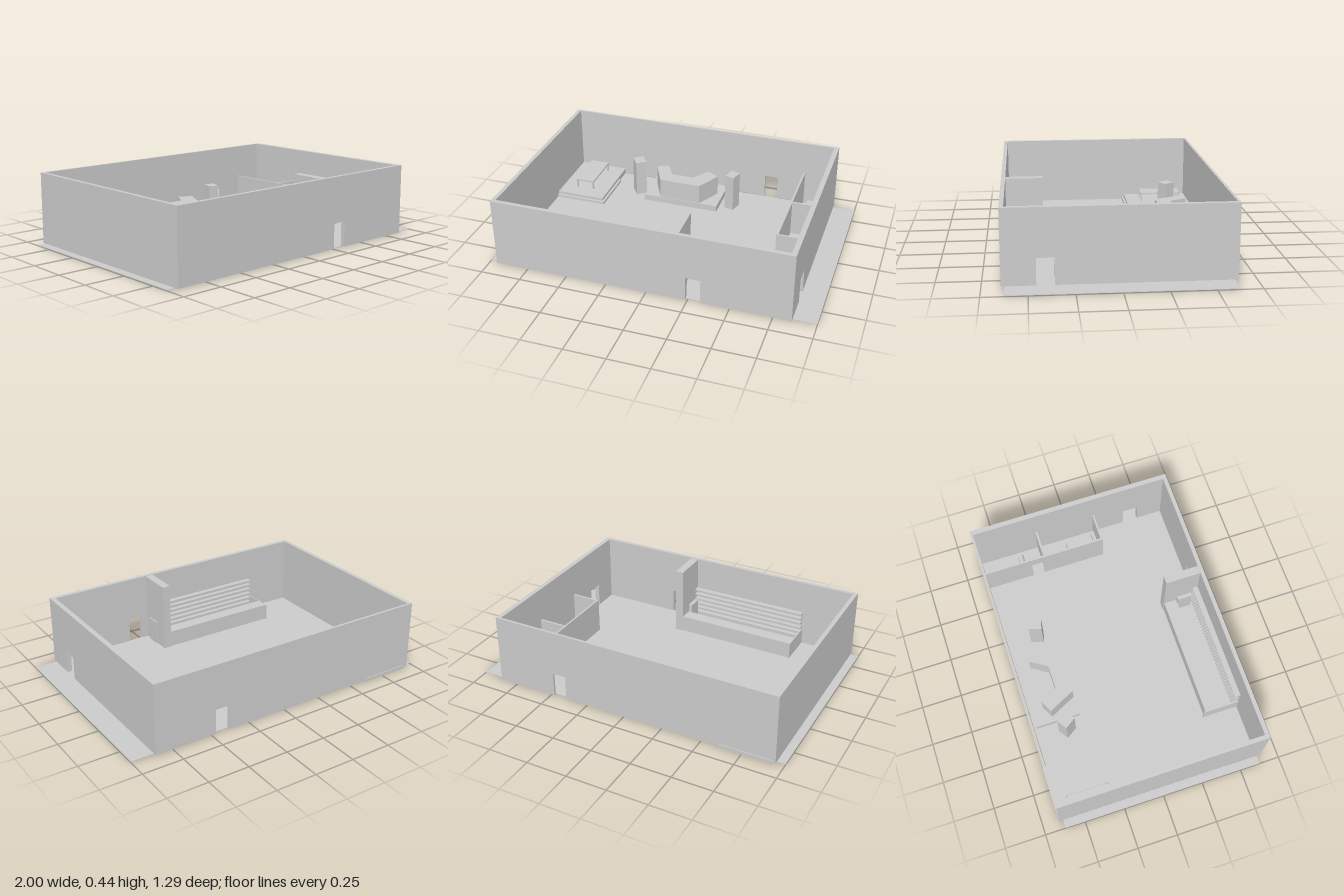
import * as THREE from 'three';

const mat = new THREE.MeshStandardMaterial({ color: 0xcccccc });
const FLOOR = 0.006, TOP = 0.44;

export function createModel() {
  const model = new THREE.Group();
  const add = (name, geo, parent = model) => {
    const m = new THREE.Mesh(geo, mat);
    m.name = name;
    parent.add(m);
    return m;
  };
  // Box given by its limits on each axis
  const box = (name, x0, x1, y0, y1, z0, z1, parent) => {
    const m = add(name, new THREE.BoxGeometry(x1 - x0, y1 - y0, z1 - z0), parent);
    m.position.set((x0 + x1) / 2, (y0 + y1) / 2, (z0 + z1) / 2);
    return m;
  };
  // Upright wall running from u0 to u1, with an optional doorway from d0 to d1
  const wallGeometry = (u0, u1, depth, d0, d1, height = TOP, doorTop = 0.16) => {
    const pts = [[u0, FLOOR]];
    if (d0 !== undefined) pts.push([d0, FLOOR], [d0, doorTop], [d1, doorTop], [d1, FLOOR]);
    pts.push([u1, FLOOR], [u1, height], [u0, height]);
    const shape = new THREE.Shape(pts.map(p => new THREE.Vector2(...p)));
    return new THREE.ExtrudeGeometry(shape, { depth, bevelEnabled: false });
  };
  const wallX = (name, x0, x1, z0, z1, d0, d1, h) => {
    add(name, wallGeometry(x0, x1, z1 - z0, d0, d1, h)).position.z = z0;
  };
  const wallZ = (name, x0, x1, z0, z1, d0, d1, h) => {
    const far = d0 === undefined ? [] : [-d1, -d0];
    const m = add(name, wallGeometry(-z1, -z0, x1 - x0, far[0], far[1], h));
    m.rotation.y = Math.PI / 2;
    m.position.x = x0;
  };

  // Ground slab and outer walls
  box('floor', -1, 1, 0.003, FLOOR, -0.625, 0.625);
  wallX('frontWall', -0.95, 0.86, 0.62, 0.645, 0.24, 0.33);
  wallX('backWall', -0.95, 0.86, -0.645, -0.63, 0.39, 0.475);
  wallZ('rightWall', -0.95, -0.925, -0.63, 0.62);
  wallZ('leftWall', 0.83, 0.86, -0.63, 0.62, 0.355, 0.455);

  // Stepped corner platform with a table
  box('platformStep', -0.925, -0.595, 0, 0.022, -0.505, -0.185);
  box('platform', -0.925, -0.61, 0, 0.04, -0.63, -0.2);
  box('platformRearEdge', -0.925, -0.61, 0, 0.022, -0.65, -0.63);
  const table = new THREE.Group();
  table.name = 'table';
  model.add(table);
  box('tableTop', -0.835, -0.71, 0.09, 0.1, -0.57, -0.295, table);
  for (const x of [-0.828, -0.717]) {
    for (const z of [-0.563, -0.302]) {
      box('tableLeg', x - 0.005, x + 0.005, 0.04, 0.09, z - 0.005, z + 0.005, table);
    }
  }

  // Stage with an angled booth counter
  box('stage', -0.36, 0.14, 0, 0.046, -0.61, -0.33);
  const booth = [[-0.326, -0.497], [-0.251, -0.535], [-0.198, -0.428], [-0.048, -0.428],
    [0.021, -0.535], [0.102, -0.492], [0.021, -0.333], [-0.246, -0.333]];
  const boothShape = new THREE.Shape(booth.map(([x, z]) => new THREE.Vector2(x, -z)));
  const boothMesh = add('boothCounter',
    new THREE.ExtrudeGeometry(boothShape, { depth: 0.13, bevelEnabled: false }));
  boothMesh.rotation.x = -Math.PI / 2;
  boothMesh.position.y = 0.046;

  // Tall cabinets turned towards the room on both sides of the stage
  for (const [x, z, turn, w] of [[-0.425, -0.43, 0.6, 0.07], [0.218, -0.43, -0.28, 0.062]]) {
    const c = box('cabinet', -w / 2, w / 2, FLOOR, 0.245, -0.04, 0.04);
    c.position.x = x;
    c.position.z = z;
    c.rotation.y = turn;
  }

  // Bar: counter, shelves behind it and a full-height screen wall
  box('barScreenWall', 0.145, 0.195, FLOOR, 0.437, 0.4, 0.62);
  box('barCounter', -0.61, 0.145, FLOOR, 0.11, 0.405, 0.485);
  box('barEndPanel', -0.616, -0.61, FLOOR, 0.11, 0.395, 0.62);
  box('barDoor', 0.122, 0.202, FLOOR, 0.16, 0.488, 0.58);
  box('shelfBack', -0.61, 0.145, FLOOR, 0.23, 0.612, 0.62);
  for (let i = 0; i < 6; i++) {
    const y = 0.06 + i * 0.032;
    box('shelf', -0.61, 0.145, y, y + 0.011, 0.585, 0.612);
  }

  // Two side rooms with open tops
  const H = 0.23;
  wallX('roomEndWall', 0.645, 0.83, 0.143, 0.155, undefined, undefined, H);
  wallX('roomDivider', 0.645, 0.83, -0.243, -0.23, undefined, undefined, H);
  wallZ('rearRoomWall', 0.645, 0.657, -0.63, -0.243, -0.325, -0.25, H);
  wallZ('frontRoomWall', 0.645, 0.657, -0.23, 0.143, undefined, undefined, H);
  box('bench', 0.657, 0.81, FLOOR, 0.04, 0.12, 0.143);

  // Furniture of the side rooms
  box('bed', 0.69, 0.785, FLOOR, 0.05, -0.585, -0.39);
  const roll = add('bolster', new THREE.CylinderGeometry(0.018, 0.018, 0.095, 16));
  roll.rotation.z = Math.PI / 2;
  roll.position.set(0.737, 0.045, -0.372);
  box('lowTable', 0.69, 0.78, FLOOR, 0.06, -0.06, 0.11);

  return model;
}
